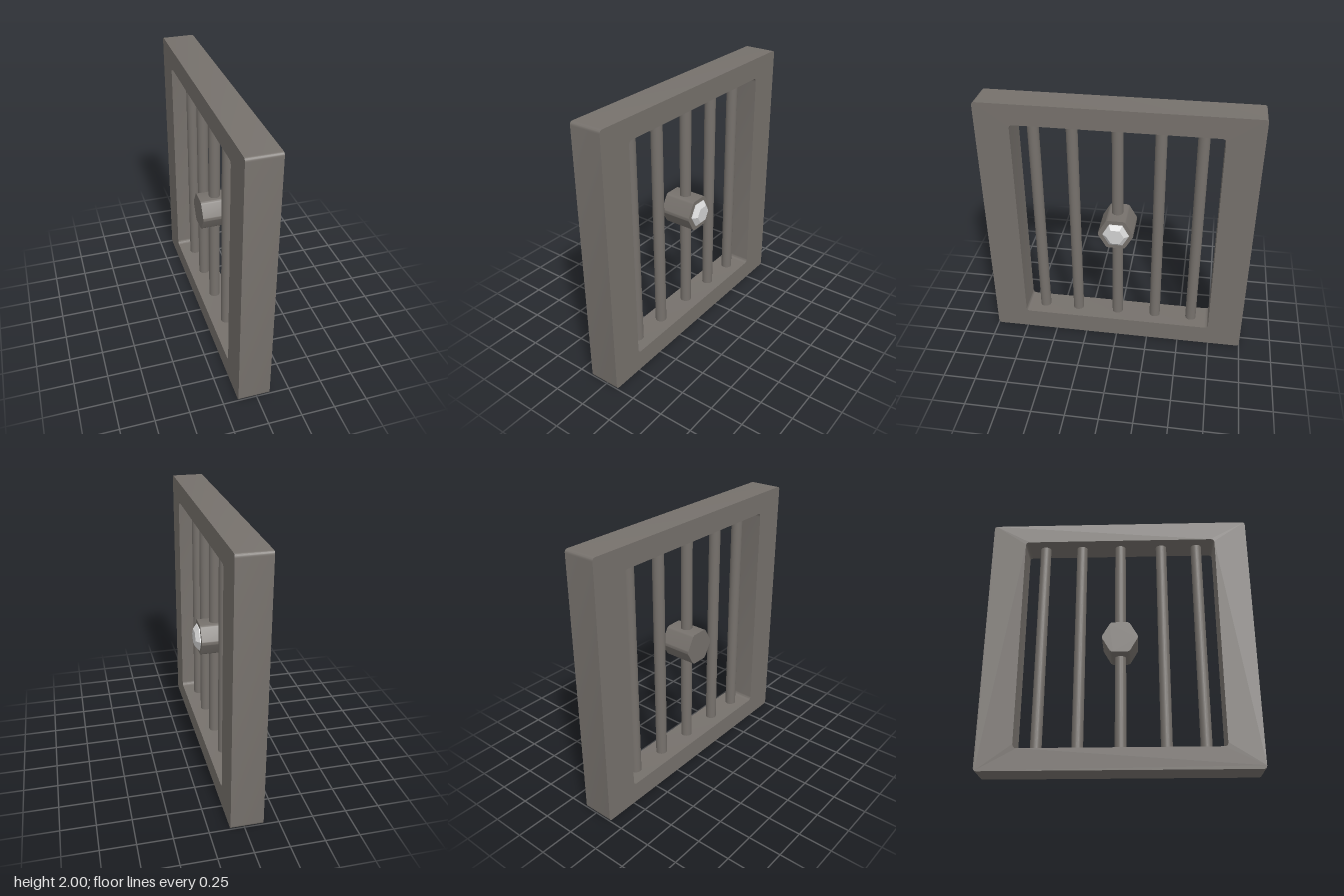
import * as THREE from 'three';
import { toCreasedNormals } from 'three/addons/utils/BufferGeometryUtils.js';

const iron = new THREE.MeshStandardMaterial({ name: 'darkIron', color: 0x76716c });
const crystal = new THREE.MeshStandardMaterial({ name: 'paleCrystal', color: 0xd2d2d2 });

// Traces a polygon with rounded corners onto a Shape or Path
function roundedPolygon(path, points, radius) {
  const n = points.length;
  points.forEach((p, i) => {
    const prev = points[(i + n - 1) % n];
    const next = points[(i + 1) % n];
    const a = p.clone().add(prev.clone().sub(p).setLength(radius));
    const b = p.clone().add(next.clone().sub(p).setLength(radius));
    if (i === 0) path.moveTo(a.x, a.y);
    else path.lineTo(a.x, a.y);
    path.quadraticCurveTo(p.x, p.y, b.x, b.y);
  });
  path.closePath();
  return path;
}

// Corners of a rectangle in the gate plane (first coordinate is -z)
const rect = (x0, y0, x1, y1) => [
  new THREE.Vector2(x0, y0), new THREE.Vector2(x1, y0),
  new THREE.Vector2(x1, y1), new THREE.Vector2(x0, y1),
];

// Corners of a hexagon with flat top and bottom
const hexagon = (halfWidth, halfHeight) => Array.from({ length: 6 }, (_, i) => {
  const a = i * Math.PI / 3;
  return new THREE.Vector2(Math.cos(a) * halfWidth, Math.sin(a) * halfHeight / Math.sin(Math.PI / 3));
});

// Extrudes a gate-plane shape along x, between x0 and x1
function extrudeAlongX(shape, x0, x1) {
  const geometry = new THREE.ExtrudeGeometry(shape, { depth: x1 - x0, bevelEnabled: false, curveSegments: 5 });
  geometry.rotateY(Math.PI / 2).translate(x0, 0, 0);
  return toCreasedNormals(geometry, 0.6);
}

// Faceted stone: hexagonal rings of [x, half width, half height], closed by a flat table
function gemGeometry(rings) {
  const corners = rings.map(([x, w, h]) => hexagon(w, h).map((p) => [x, p.y, -p.x]));
  const positions = [];
  for (let r = 0; r < rings.length - 1; r++) {
    for (let i = 0; i < 6; i++) {
      const j = (i + 1) % 6;
      const [a, b, c, d] = [corners[r][i], corners[r][j], corners[r + 1][j], corners[r + 1][i]];
      positions.push(...a, ...b, ...c, ...a, ...c, ...d);
    }
  }
  const top = corners[rings.length - 1];
  for (let i = 1; i < 5; i++) positions.push(...top[0], ...top[i], ...top[i + 1]);
  const geometry = new THREE.BufferGeometry();
  geometry.setAttribute('position', new THREE.Float32BufferAttribute(positions, 3));
  geometry.computeVertexNormals();
  return geometry;
}

export function createModel() {
  const group = new THREE.Group();
  group.name = 'barredGate';
  const add = (name, geometry, material, x = 0, y = 0, z = 0) => {
    const mesh = new THREE.Mesh(geometry, material);
    mesh.name = name;
    mesh.position.set(x, y, z);
    group.add(mesh);
  };

  // Square frame with a rounded opening
  const frame = roundedPolygon(new THREE.Shape(), rect(-1, 0, 1, 2), 0.025);
  frame.holes.push(roundedPolygon(new THREE.Path(), rect(-0.75, 0.16, 0.74, 1.845), 0.03));
  add('frame', extrudeAlongX(frame, -0.138, 0.1), iron);

  // Upright bars, ends sunk into the frame
  const bar = new THREE.CylinderGeometry(0.042, 0.042, 1.74, 20);
  [0.612, 0.333, 0.007, -0.3, -0.594].forEach((z, i) => add(`bar${i + 1}`, bar, iron, -0.02, 1, z));

  // Hexagonal boss on the middle bar
  const boss = roundedPolygon(new THREE.Shape(), hexagon(0.138, 0.12), 0.018);
  add('boss', extrudeAlongX(boss, -0.143, 0.105), iron, 0, 1, 0.006);

  // Cut stone set in the boss
  add('gem', gemGeometry([[0.1, 0.1, 0.09], [0.112, 0.1, 0.088], [0.14, 0.066, 0.058]]), crystal, 0, 1, 0.004);

  return group;
}
